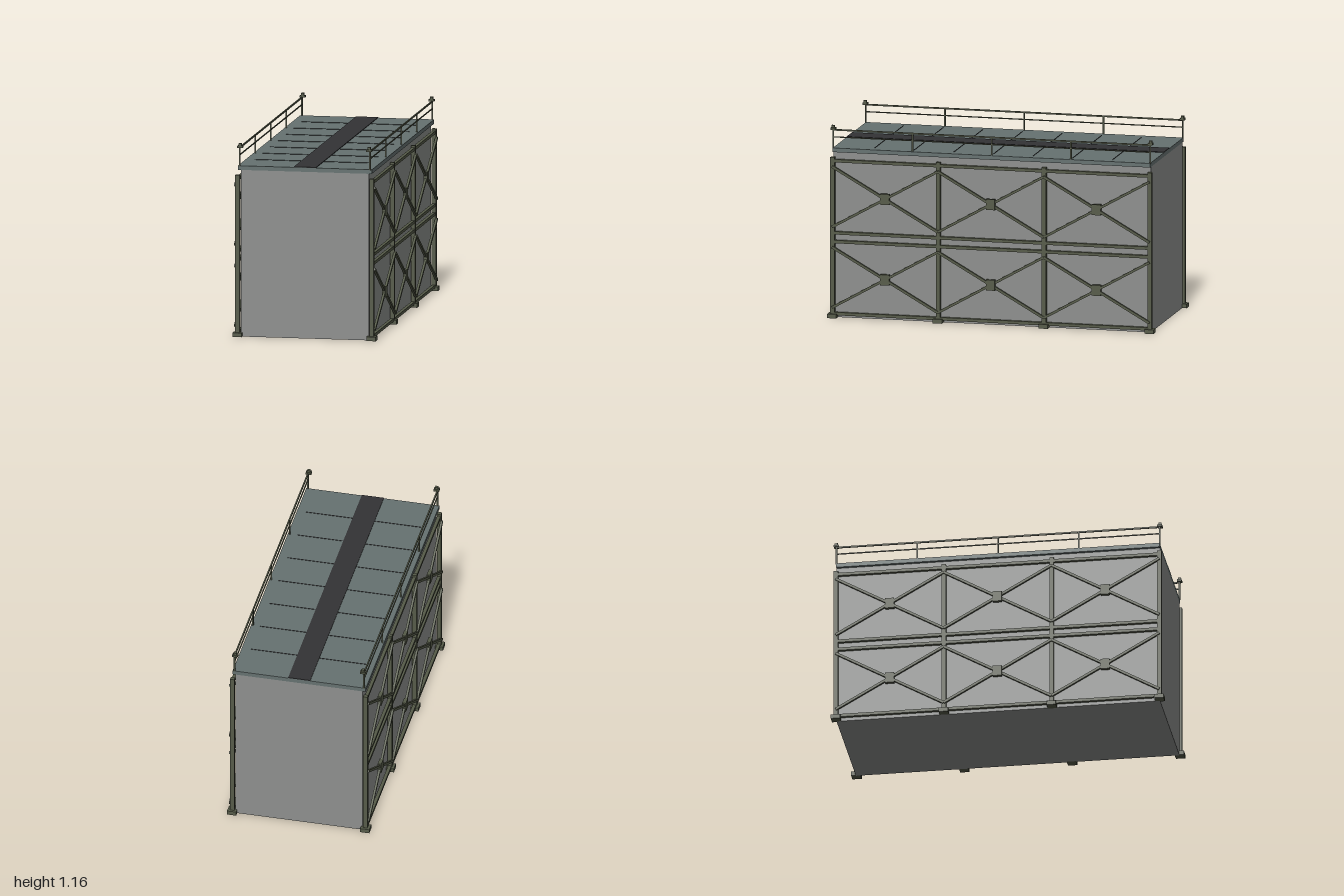
import * as THREE from 'three';

function material(name, color) {
  const m = new THREE.MeshStandardMaterial({ color });
  m.name = name;
  return m;
}

export function createModel() {
  const model = new THREE.Group();
  model.name = 'bracedBlock';
  const grey = material('wall grey', 0x8e908e);
  const slate = material('deck slate', 0x667271);
  const olive = material('frame olive', 0x565b49);
  const dark = material('stripe charcoal', 0x333335);

  function box(parent, name, mat, w, h, d, x, y, z) {
    const mesh = new THREE.Mesh(new THREE.BoxGeometry(w, h, d), mat);
    mesh.name = name;
    mesh.position.set(x, y, z);
    parent.add(mesh);
    return mesh;
  }

  // Solid core and roof deck
  box(model, 'core', grey, 0.772, 1, 1.94, 0, 0.5, 0);
  box(model, 'deck', slate, 0.81, 0.025, 1.94, 0, 1.0125, 0);
  box(model, 'centreStripe', dark, 0.134, 0.004, 1.94, 0, 1.0268, 0);
  for (let i = -3; i <= 3; i++) {
    box(model, 'deckSeam', dark, 0.7, 0.003, 0.004, 0, 1.0258, i * 0.2425);
  }

  const columns = [-0.97, -0.3233, 0.3233, 0.97];
  for (const s of [-1, 1]) {
    // Truss frame along one long side
    const truss = new THREE.Group();
    truss.name = s > 0 ? 'leftTruss' : 'rightTruss';
    model.add(truss);
    const x = s * 0.405;
    for (const z of columns) {
      box(truss, 'column', olive, 0.026, 0.97, 0.026, x, 0.485, z);
      box(truss, 'foot', olive, 0.056, 0.025, 0.056, x, 0.0125, z);
    }
    for (const y of [0.025, 0.46, 0.513, 0.949]) {
      box(truss, 'beam', olive, 0.02, 0.018, 1.94, x, y, 0);
    }
    // Crossed braces with a joint plate in every bay
    for (const y of [0.246, 0.733]) {
      for (const z of [-0.6467, 0, 0.6467]) {
        const rise = 0.366, run = 0.6467;
        for (const t of [-1, 1]) {
          const brace = box(truss, 'brace', olive, 0.014, 0.015, Math.hypot(rise, run), s * 0.42, y, z);
          brace.rotation.x = t * Math.atan2(rise, run);
        }
        box(truss, 'jointPlate', olive, 0.022, 0.064, 0.054, s * 0.42, y, z);
      }
    }

    // Guard rail on the deck edge
    const guard = new THREE.Group();
    guard.name = s > 0 ? 'leftGuardRail' : 'rightGuardRail';
    model.add(guard);
    const gx = s * 0.394;
    for (let i = -2; i <= 2; i++) {
      box(guard, 'railPost', olive, 0.009, 0.113, 0.008, gx, 1.0785, i * 0.4845);
    }
    box(guard, 'topRail', olive, 0.008, 0.009, 1.94, gx, 1.133, 0);
    box(guard, 'midRail', olive, 0.006, 0.006, 1.94, gx, 1.09, 0);
    // Corner lamps
    for (const z of [-0.97, 0.97]) {
      box(guard, 'lampBase', olive, 0.034, 0.012, 0.028, s * 0.389, 1.14, z);
      box(guard, 'lampTop', olive, 0.018, 0.015, 0.018, s * 0.389, 1.1525, z);
    }
  }
  return model;
}
